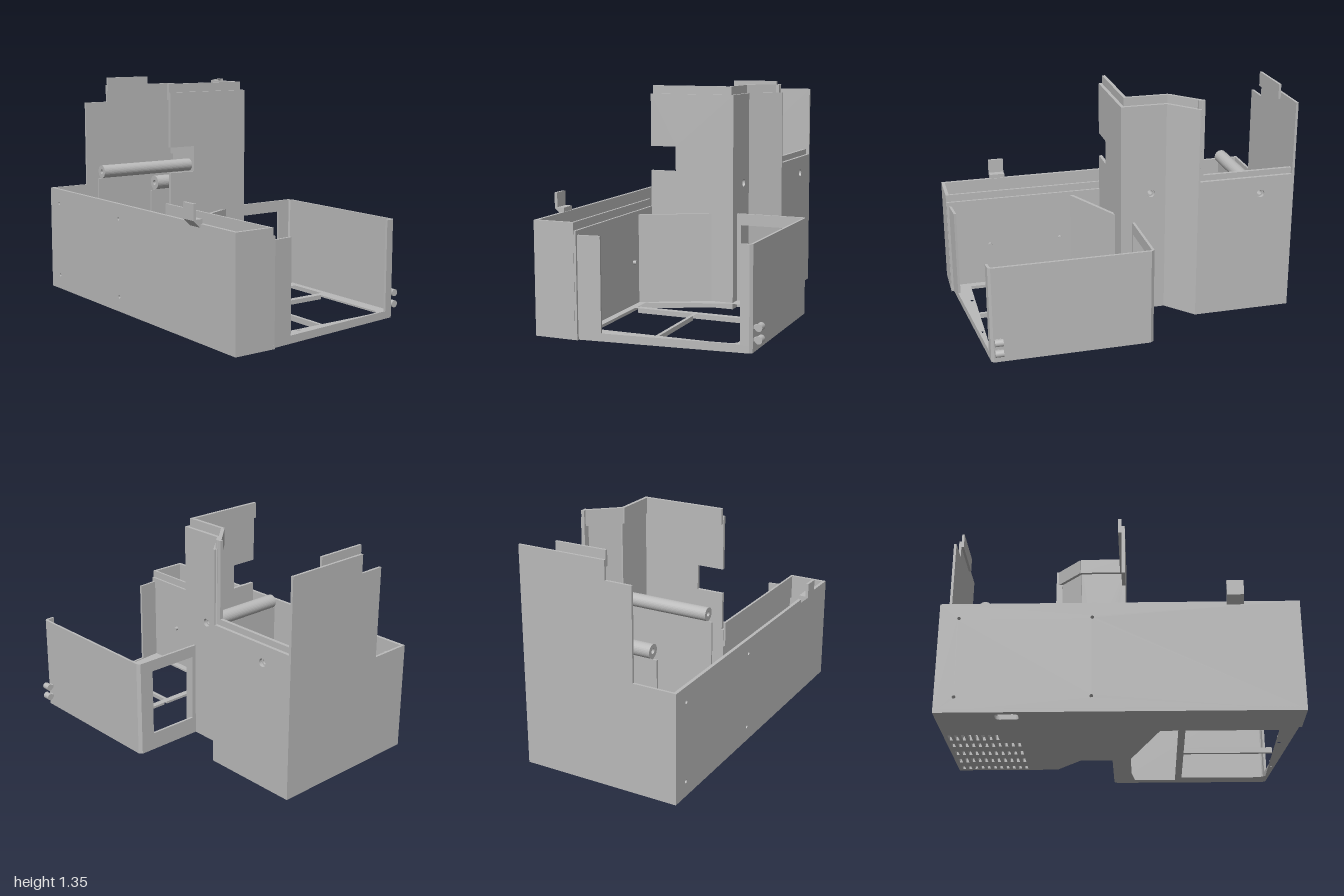
import * as THREE from 'three';

const grey = new THREE.MeshStandardMaterial({ color: 0xbababa });
grey.name = 'plain grey';

const shapeOf = (pts) => new THREE.Shape(pts.map(([x, y]) => new THREE.Vector2(x, y)));
const rect = (x0, y0, x1, y1) => [[x0, y0], [x1, y0], [x1, y1], [x0, y1]];
const circle = (x, y, r, n = 20) => Array.from({ length: n }, (_, i) => {
  const a = (i / n) * Math.PI * 2;
  return [x + r * Math.cos(a), y + r * Math.sin(a)];
});

function extrude(outline, holes, depth) {
  const s = shapeOf(outline);
  s.holes = holes.map(shapeOf);
  return new THREE.ExtrudeGeometry(s, { depth, bevelEnabled: false });
}

export function createModel() {
  const model = new THREE.Group();
  model.name = 'machineBody';

  const add = (name, geo) => {
    const m = new THREE.Mesh(geo, grey);
    m.name = name;
    model.add(m);
    return m;
  };
  const box = (name, x0, x1, y0, y1, z0, z1) =>
    add(name, new THREE.BoxGeometry(x1 - x0, y1 - y0, z1 - z0))
      .position.set((x0 + x1) / 2, (y0 + y1) / 2, (z0 + z1) / 2);

  // horizontal slab from a plan outline in (x, z)
  const slab = (name, plan, holes, y0, y1) => {
    const flip = (pts) => pts.map(([x, z]) => [x, -z]);
    const geo = extrude(flip(plan), holes.map(flip), y1 - y0);
    geo.rotateX(-Math.PI / 2);
    add(name, geo).position.y = y0;
  };

  // upright panel along plan points a -> b, thickened to the inside;
  // the outline is given in (distance from a, height)
  const panel = (name, a, b, t, outline, holes = []) => {
    const m = add(name, extrude(outline, holes, t));
    m.position.set(a[0], 0, a[1]);
    m.rotation.y = -Math.atan2(b[1] - a[1], b[0] - a[0]);
  };
  const strip = (name, a, b, t, y0, y1) =>
    panel(name, a, b, t, rect(0, y0, Math.hypot(b[0] - a[0], b[1] - a[1]), y1));

  const T = 0.02;

  // ---- main floor with ventilation slots and an oblong opening
  const slots = [];
  [[-0.312, -0.265], [-0.19, -0.125], [-0.06, 0], [0.08, 0.14], [0.19, 0.275]].forEach(([z0, z1], row) => {
    for (let i = 0; i < (row === 4 ? 8 : 11); i++) {
      const x = -0.966 + i * 0.038;
      slots.push(rect(x - 0.009, z0, x + 0.009, z1));
    }
  });
  const oblong = [];
  [[-0.57, 0.565, 0], [-0.65, 0.565, 1], [-0.65, 0.535, 2], [-0.57, 0.535, 3]].forEach(([x, z, q]) => {
    for (let i = 0; i <= 5; i++) {
      const a = (q + i / 5) * Math.PI / 2;
      oblong.push([x + 0.025 * Math.cos(a), z + 0.025 * Math.sin(a)]);
    }
  });
  slab('mainFloor', [[-1, 0.62], [1, 0.62], [1, 0.36], [0.2, 0.36], [-0.055, -0.175],
    [-0.25, -0.175], [-0.4, -0.34], [-1, -0.34]], [...slots, oblong], 0, T);

  // ---- front wall with screw holes and inner bosses
  const screws = [];
  for (const x of [-0.89, -0.15]) for (const y of [0.09, 0.56]) screws.push([x, y]);
  panel('frontWall', [1, 0.62], [-1, 0.62], T, rect(0, 0, 2, 0.65),
    screws.map(([x, y]) => circle(1 - x, y, 0.01)));
  for (const [x, y] of screws) {
    add('screwBoss', extrude(circle(x, y, 0.023), [circle(x, y, 0.01)], T)).position.z = 0.58;
  }
  strip('frontEndWall', [1, 0.375], [1, 0.62], T, 0, 0.65);

  // ---- wall between the front compartment and the cab
  box('dividerWall', 0, 0.998, 0, 0.605, 0.362, 0.38);
  box('dividerLip', 0.005, 0.985, 0.5, 0.65, 0.376, 0.39);
  for (const x of [0.29, 0.74]) {
    const boss = add('dividerBoss', new THREE.CylinderGeometry(0.012, 0.012, 0.02, 16));
    boss.rotation.x = Math.PI / 2;
    boss.position.set(x, 0.3, 0.352);
  }

  // ---- engine housing walls
  panel('sideWall', [-1, 0.62], [-1, -0.34], 0.015, [[0, 0], [0.96, 0], [0.96, 1.3], [0.42, 1.3],
    [0.42, 1.19], [0.26, 1.19], [0.26, 0.65], [0, 0.65]]);
  strip('sideWallTab', [-0.985, 0.2], [-0.985, -0.11], 0.015, 1.26, 1.35);
  panel('rearWall', [-1, -0.34], [-0.4, -0.34], T, [[0, 0], [0.6, 0], [0.6, 1.3], [0.59, 1.3],
    [0.59, 0.86], [0, 0.86]], [circle(0.21, 0.755, 0.024)]);
  strip('slantedRearWall', [-0.4, -0.34], [-0.25, -0.175], T, 0, 1.3);
  panel('innerRearWall', [-0.26, -0.175], [0.025, -0.175], T, rect(0, 0, 0.285, 1.3),
    [circle(0.1, 0.755, 0.024)]);
  panel('tallWall', [0.025, -0.175], [0.025, 0.365], T, [[0, 0], [0.54, 0], [0.54, 0.83],
    [0.375, 0.83], [0.375, 0.98], [0.54, 0.98], [0.54, 1.3], [0, 1.3]]);

  // ---- raised locating lips inside the housing walls
  strip('rearLip', [-0.985, -0.32], [-0.415, -0.32], T, 0.815, 0.895);
  strip('rearLipUpright', [-0.435, -0.32], [-0.395, -0.32], T, 0.815, 1.35);
  strip('slantedLip', [-0.415, -0.322], [-0.26, -0.155], T, 1.255, 1.35);
  strip('innerRearLip', [-0.268, -0.155], [0.005, -0.155], T, 1.255, 1.35);
  strip('tallWallLip', [0.005, -0.155], [0.005, 0.36], T, 1.255, 1.35);

  // ---- tubes on thin ribs
  for (const [x, z0] of [[-0.79, -0.32], [-0.16, -0.155]]) {
    const depth = 0.36 - z0;
    const geo = extrude(circle(x, 0.755, 0.041, 32), [circle(x, 0.755, 0.015)], depth);
    add('tube', geo).position.z = z0;
    box('tubeRib', x - 0.006, x + 0.006, T, 0.722, z0, 0.36);
    box('tubeRibFoot', x - 0.006, x + 0.006, T, 0.71, 0.36, 0.386);
  }

  // ---- cab floor frame with two openings and a cross bar
  const cabPlan = [[-0.06, -0.16], [-0.06, -0.595], [-0.04, -0.61], [0.875, -0.61], [0.89, -0.595],
    [0.985, 0.37], [0.2, 0.37]];
  slab('cabFloor', cabPlan, [
    [[0.07, -0.555], [0.32, -0.555], [0.32, 0.32], [0.22, 0.32], [0.05, -0.15], [0.05, -0.42]],
    [[0.36, -0.515], [0.84, -0.515], [0.88, -0.49], [0.88, -0.075], [0.36, -0.075]],
    rect(0.36, -0.055, 0.88, 0.32),
    circle(0.9, -0.31, 0.01), circle(0.9, 0.115, 0.01),
  ], 0, 0.04);

  // ---- cab walls, open at the top
  const H = 0.58;
  panel('cabWindowWall', [-0.06, -0.16], [-0.06, -0.595], 0.015, rect(0, 0, 0.435, H),
    [rect(0.04, 0.105, 0.347, 0.51)]);
  strip('cabCorner', [-0.06, -0.595], [-0.04, -0.61], 0.015, 0, H);
  strip('cabRearWall', [-0.04, -0.61], [0.875, -0.61], 0.015, 0, H);
  strip('cabCorner', [0.875, -0.61], [0.89, -0.595], 0.015, 0, H);
  panel('cabDoorFrame', [0.89, -0.595], [0.985, 0.37], 0.015, [[0, 0], [0.97, 0], [0.97, H],
    [0.829, H], [0.829, 0.045], [0.05, 0.045], [0.05, H], [0, H]]);
  strip('cabSlantedWall', [0.2, 0.37], [-0.06, -0.165], T, 0, H);

  // ---- clip on the front edge
  const clip = add('frontClip', extrude([[0.665, 0.76], [0.648, 0.76], [0.648, 0.675], [0.605, 0.675],
    [0.605, 0.65], [0.622, 0.63], [0.665, 0.67]].map(([z, y]) => [-z, y]), [], 0.095));
  clip.rotation.y = Math.PI / 2;
  clip.position.x = 0.595;

  // ---- pair of hinge knobs behind the cab
  for (const y of [0.07, 0.137]) {
    const knob = add('hingeKnob', new THREE.CylinderGeometry(0.021, 0.021, 0.048, 24));
    knob.rotation.z = Math.PI / 2;
    knob.position.set(0.848, y, -0.64);
    box('hingeStem', 0.832, 0.864, y - 0.009, y + 0.009, -0.63, -0.6);
  }
  return model;
}
